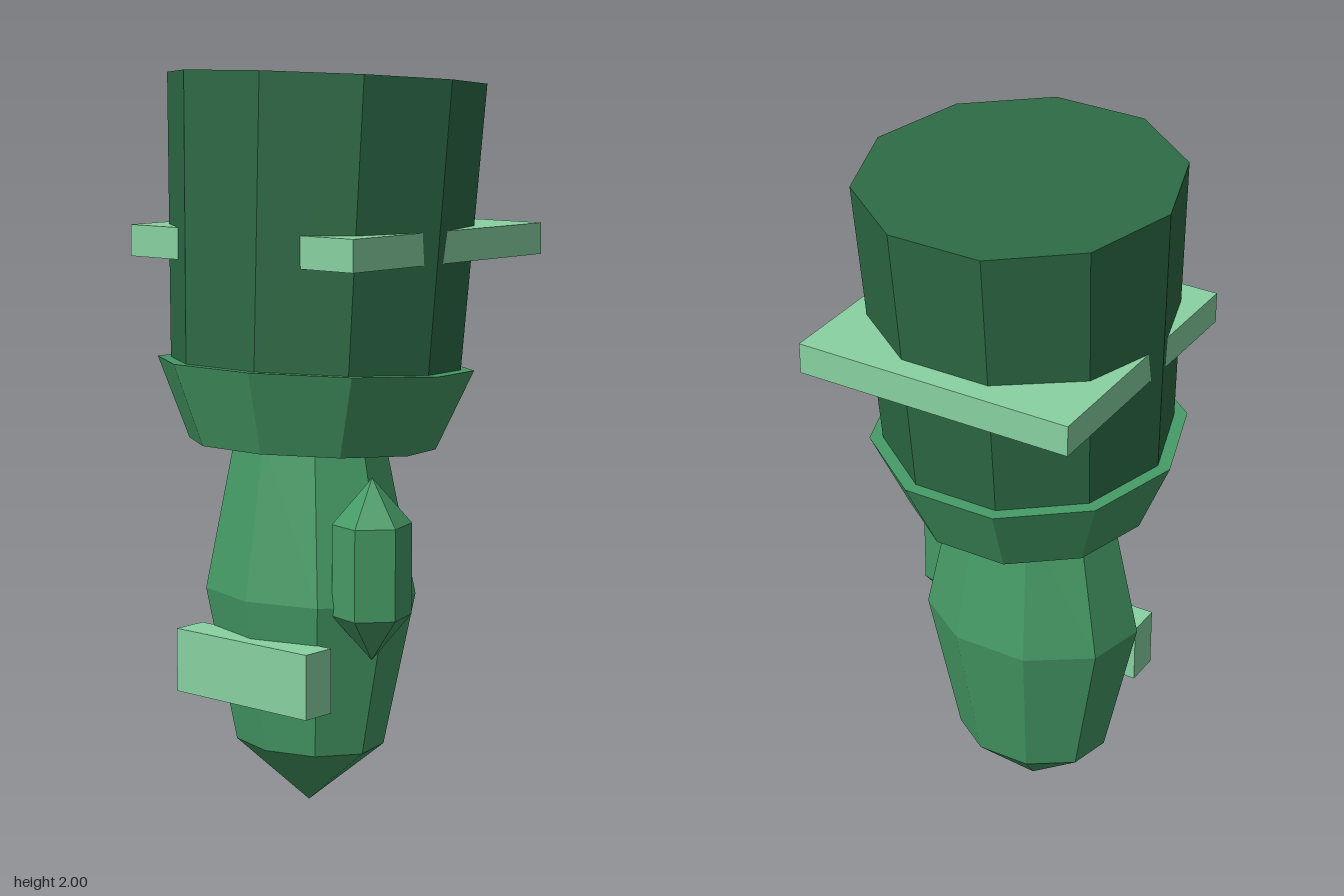
import * as THREE from 'three';

const flat = (name, color) => {
  const m = new THREE.MeshStandardMaterial({ color });
  m.name = name;
  m.flatShading = true;
  return m;
};

export function createModel() {
  const model = new THREE.Group();
  const darkGreen = flat('dark green', 0x2d6a45);
  const midGreen = flat('mid green', 0x459a65);
  const paleGreen = flat('pale green', 0x88d2a2);

  const add = (name, geometry, material, [x, y, z], parent = model) => {
    const mesh = new THREE.Mesh(geometry, material);
    mesh.name = name;
    mesh.position.set(x, y, z);
    parent.add(mesh);
    return mesh;
  };

  // Faceted ellipsoid, turned about its axis before being stretched
  const gem = (sides, rings, turn, sx, sy, sz) =>
    new THREE.SphereGeometry(1, sides, rings).rotateY(turn).scale(sx, sy, sz);

  // Ten-sided tapered drum with flat faces to the front and back
  const drum = (top, bottom, height) =>
    new THREE.CylinderGeometry(top, bottom, height, 10).rotateY(Math.PI / 10);

  // Body and the pod on its left side
  add('body', gem(9, 4, Math.PI / 2, 0.315, 0.6, 0.253), midGreen, [0, 0.6, 0.064]);
  add('sidePod', gem(6, 3, -0.23, 0.119, 0.245, 0.126), midGreen, [0.29, 0.7, 0.14]);
  add('frontPlate', new THREE.BoxGeometry(0.47, 0.175, 0.1), paleGreen, [0, 0.408, 0.29]);

  // Head, leaning back slightly, pivoting at the top of the collar
  const head = new THREE.Group();
  head.name = 'head';
  head.position.set(0, 1.213, 0.0375);
  head.rotation.x = -0.06;
  model.add(head);
  add('collar', drum(0.43, 0.336, 0.218), midGreen, [0, -0.109, 0], head);
  add('crown', drum(0.43, 0.394, 0.765), darkGreen, [0, 0.3825, 0], head);

  // Level square slab passing through the crown
  add('crossSlab', new THREE.BoxGeometry(0.79, 0.085, 0.785), paleGreen, [0, 1.543, -0.052]);

  return model;
}
